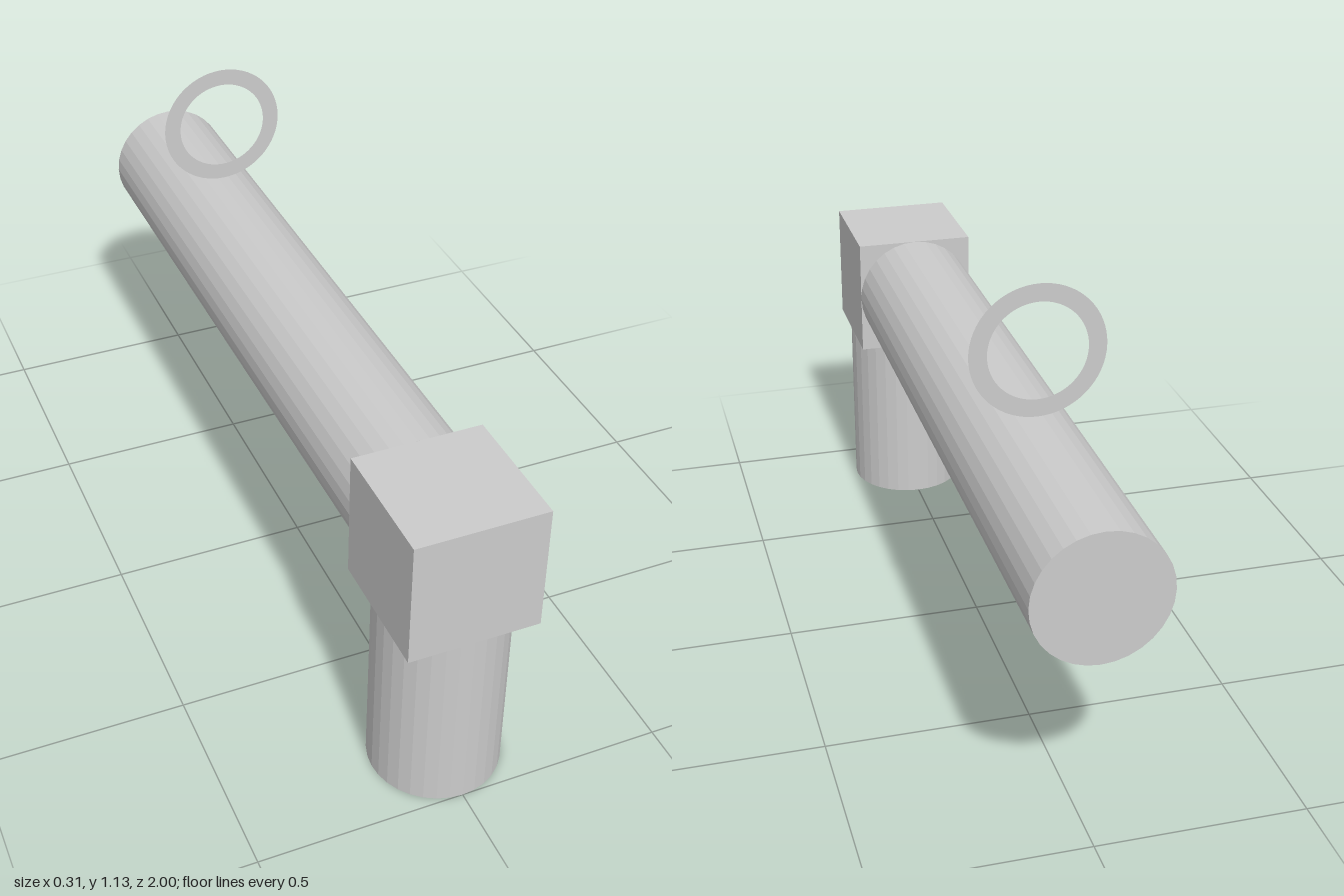
import * as THREE from 'three';

const R = 0.157; // shared radius of post, arm and ring

export function createModel() {
  const group = new THREE.Group();
  const flat = new THREE.MeshStandardMaterial({ color: 0xcccccc, flatShading: true });
  const thin = new THREE.MeshStandardMaterial({ color: 0xcccccc, side: THREE.DoubleSide });

  const add = (name, geometry, material, x, y, z) => {
    const mesh = new THREE.Mesh(geometry, material);
    mesh.name = name;
    mesh.position.set(x, y, z);
    group.add(mesh);
    return mesh;
  };

  const frontZ = 1 - R; // centre line of post and block
  const postHeight = 0.479;
  const blockY = postHeight + R;

  // Upright post
  add('post', new THREE.CylinderGeometry(R, R, postHeight, 32), flat, 0, postHeight / 2, frontZ);

  // Corner block joining post and arm
  add('cornerBlock', new THREE.BoxGeometry(2 * R, 2 * R, 2 * R), flat, 0, blockY, frontZ);

  // Long arm running to the back, drooping very slightly
  const armLength = 2 - 2 * R;
  const droop = 0.005;
  const arm = add('arm', new THREE.CylinderGeometry(R, R, armLength, 32), flat,
    0, blockY - (armLength / 2) * droop, -R);
  arm.rotation.x = -Math.PI / 2 - droop;

  // Flat upright ring above the arm
  add('ring', new THREE.RingGeometry(0.115, R, 64), thin, 0, 0.97, -0.525);

  return group;
}
